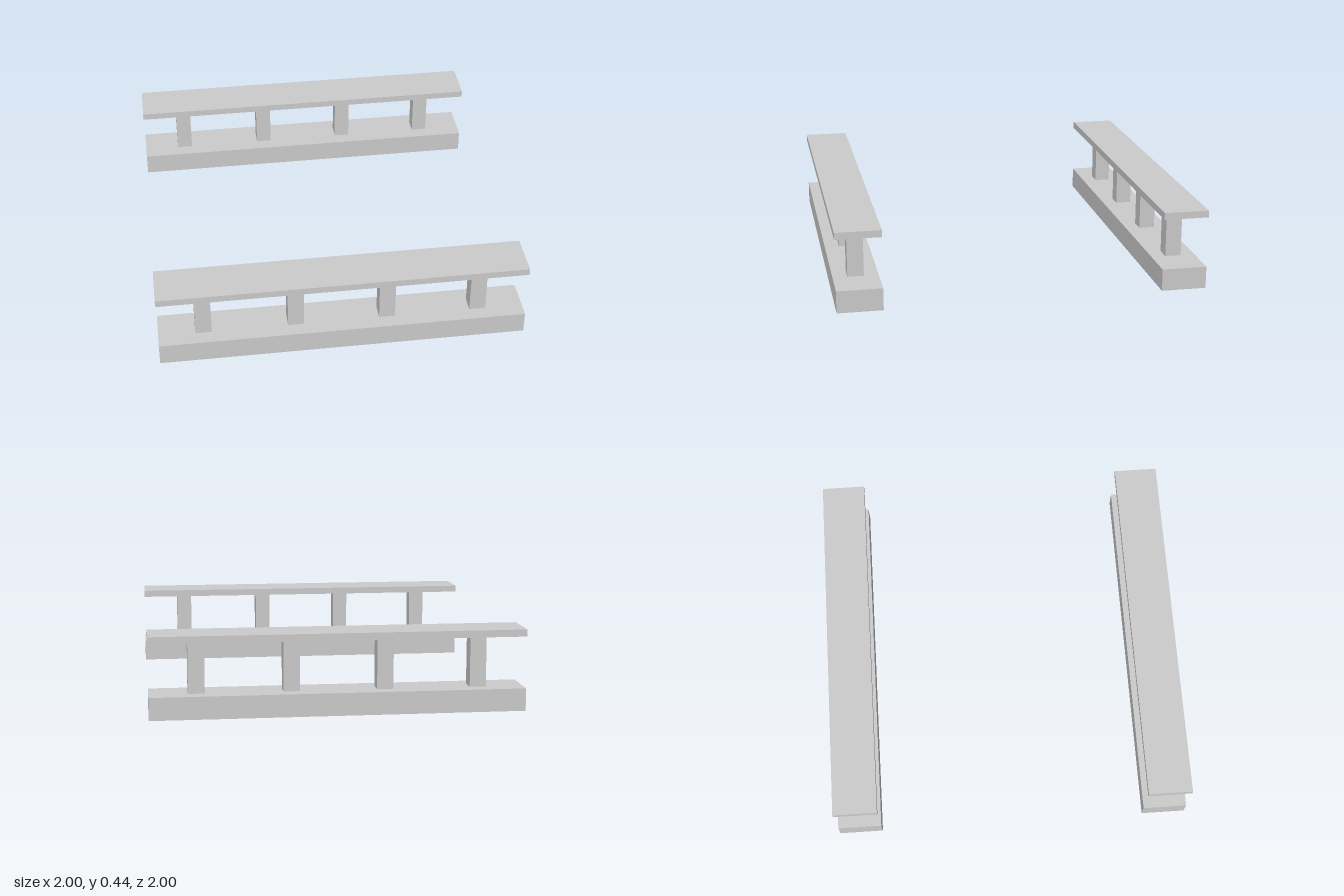
import * as THREE from 'three';

const material = new THREE.MeshStandardMaterial({ color: 0xcccccc });
const shellMaterial = new THREE.MeshStandardMaterial({ color: 0xcccccc, side: THREE.DoubleSide });

// Box resting on height y
function box(name, w, h, d, x, y, mat = material) {
  const mesh = new THREE.Mesh(new THREE.BoxGeometry(w, h, d), mat);
  mesh.name = name;
  mesh.position.set(x, y + h / 2, 0);
  return mesh;
}

// One railing: hollow base, four posts and a flat top rail
function createRailing(name, z) {
  const railing = new THREE.Group();
  railing.name = name;
  railing.position.z = z;

  // The base is a shell, open underneath: drop the box's bottom face
  const base = box('base', 2, 0.122, 0.246, 0, 0, shellMaterial);
  const index = Array.from(base.geometry.index.array);
  index.splice(18, 6);
  base.geometry.setIndex(index);
  base.geometry.clearGroups();
  railing.add(base);

  for (const x of [-0.755, -0.253, 0.247, 0.749]) {
    railing.add(box('post', 0.088, 0.28, 0.088, x, 0.122));
  }
  railing.add(box('topRail', 2, 0.038, 0.246, 0, 0.402));
  return railing;
}

export function createModel() {
  const model = new THREE.Group();
  model.name = 'railings';
  model.add(createRailing('frontRailing', 0.877), createRailing('backRailing', -0.877));
  return model;
}
